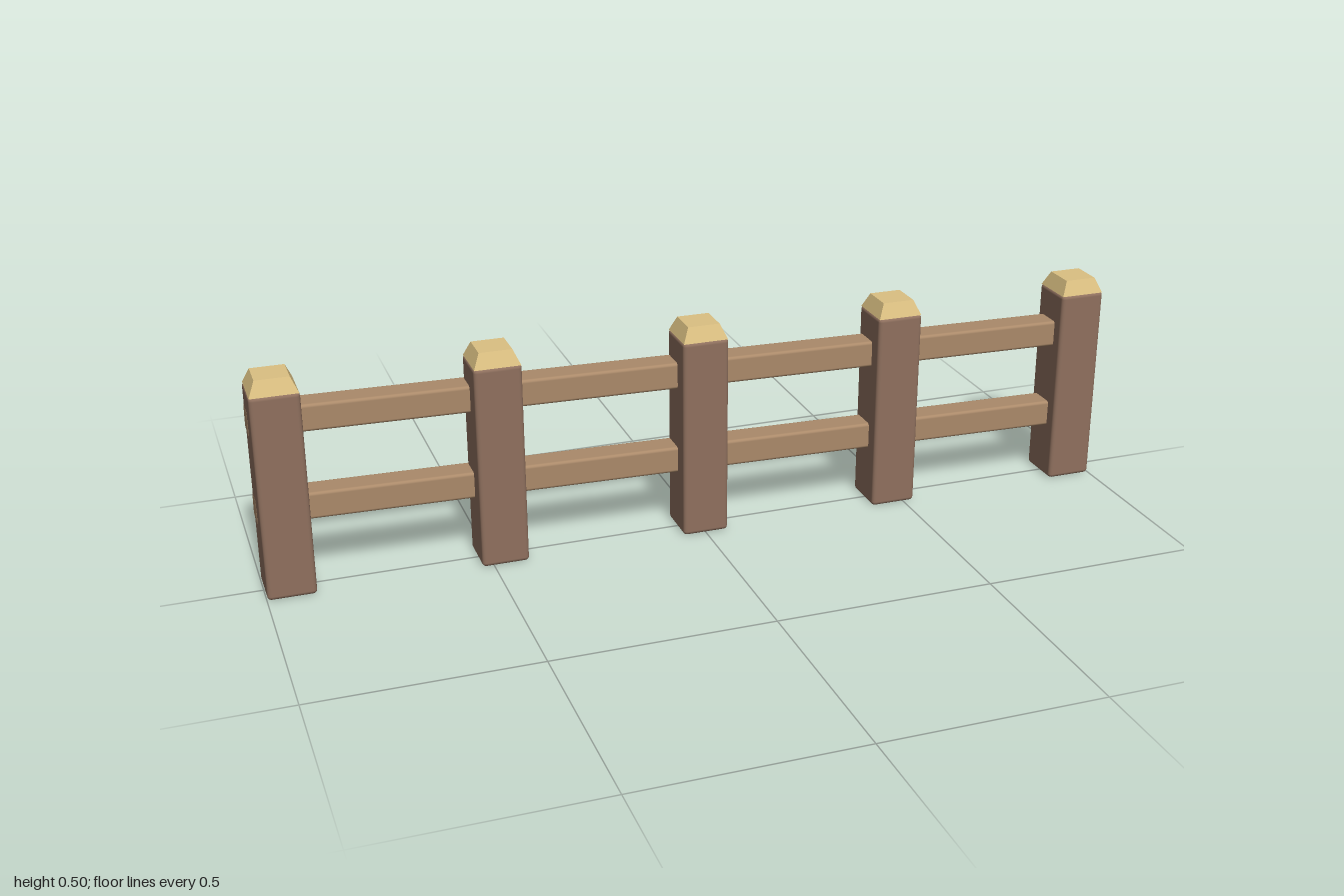
import * as THREE from 'three';
import { RoundedBoxGeometry } from 'three/addons/geometries/RoundedBoxGeometry.js';

export function createModel() {
  const fence = new THREE.Group();
  fence.name = 'fence';
  const material = (name, color) => {
    const m = new THREE.MeshStandardMaterial({ color });
    m.name = name;
    return m;
  };
  const postWood = material('dark post wood', 0x8f705e);
  const railWood = material('rail wood', 0xab8a6a);
  const capWood = material('pale cap wood', 0xdbc082);

  const add = (parent, name, geometry, mat, x, y, z) => {
    const mesh = new THREE.Mesh(geometry, mat);
    mesh.name = name;
    mesh.position.set(x, y, z);
    parent.add(mesh);
    return mesh;
  };

  // Five posts with bevelled edges, each topped by a tapered square cap
  const postGeometry = new RoundedBoxGeometry(0.107, 0.47, 0.11, 2, 0.009);
  const capGeometry = new THREE.CylinderGeometry(0.037 * Math.SQRT2, 0.052 * Math.SQRT2, 0.034, 4)
    .rotateY(Math.PI / 4).toNonIndexed();
  capGeometry.computeVertexNormals();
  for (let i = -2; i <= 2; i++) {
    const post = new THREE.Group();
    post.name = 'post' + (i + 3);
    post.position.set(i * 0.4725, 0, 0.002);
    add(post, 'postBody', postGeometry, postWood, 0, 0.235, 0);
    add(post, 'postCap', capGeometry, capWood, 0, 0.485, 0);
    fence.add(post);
  }

  // Two rails, slightly sloped and skewed so they come through the back at the right end
  const railGeometry = new RoundedBoxGeometry(1.999, 0.062, 0.064, 2, 0.007);
  const rails = [['topRail', 0.378, 0.0125, 0.0125], ['lowerRail', 0.173, 0.014, 0.0105]];
  for (const [name, y, slope, skew] of rails) {
    const rail = add(fence, name, railGeometry, railWood, 0, y, -0.0165);
    rail.rotation.set(0, -skew, -slope);
  }
  return fence;
}
